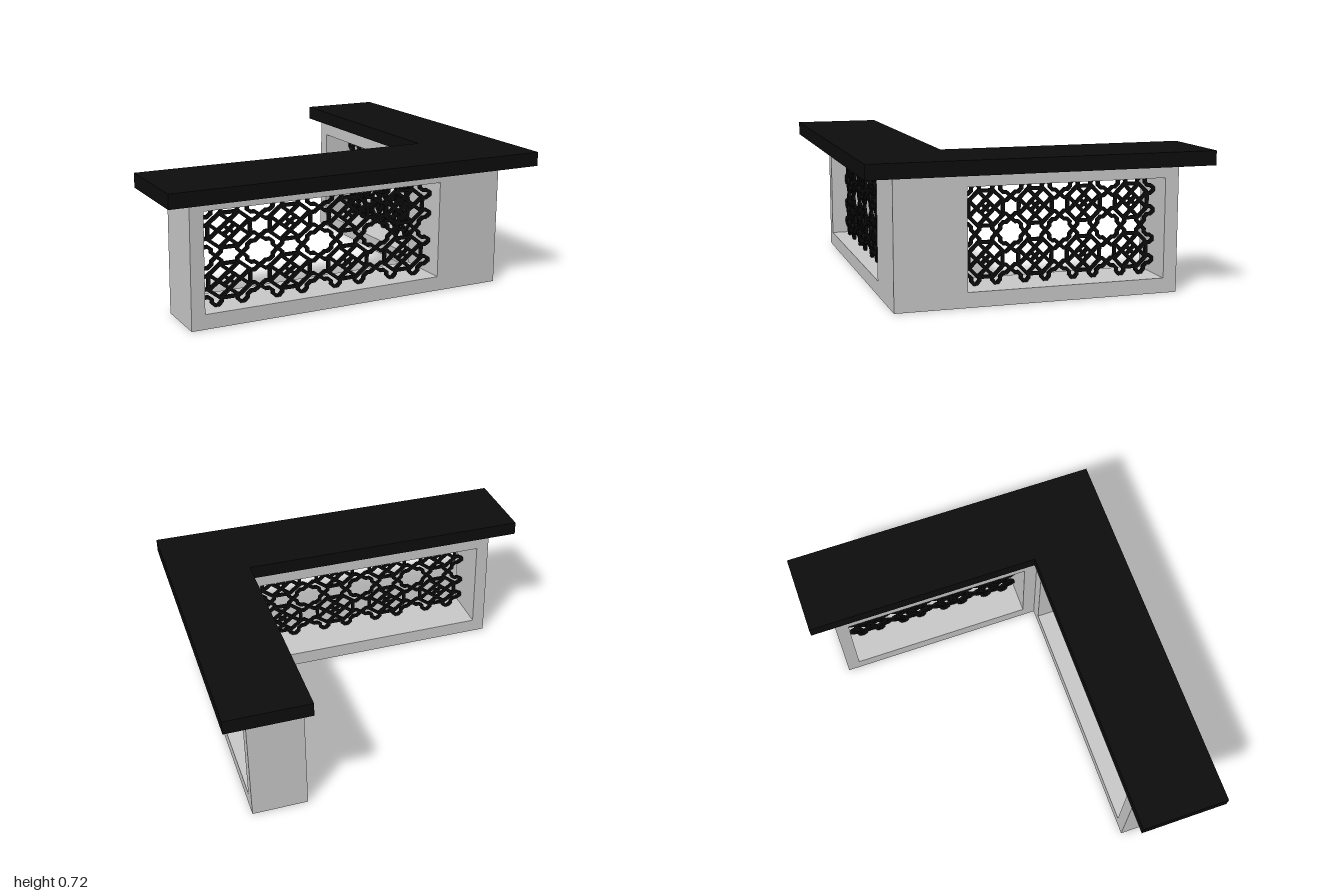
import * as THREE from 'three';
import { mergeGeometries } from 'three/addons/utils/BufferGeometryUtils.js';

const grey = new THREE.MeshStandardMaterial({ color: 0xcccccc });
const black = new THREE.MeshStandardMaterial({ color: 0x0d0d0d });

function named(name, geometry, material) {
  const mesh = new THREE.Mesh(geometry, material);
  mesh.name = name;
  return mesh;
}

function rectangle(PathType, x0, x1, y0, y1) {
  const p = new PathType();
  p.moveTo(x0, y0).lineTo(x1, y0).lineTo(x1, y1).lineTo(x0, y1).closePath();
  return p;
}

// Wall with a rectangular through opening, extruded by its thickness
function wallGeometry(x0, x1, hole0, hole1) {
  const shape = rectangle(THREE.Shape, x0, x1, 0, 0.645);
  shape.holes.push(rectangle(THREE.Path, hole0, hole1, 0.075, 0.575));
  return new THREE.ExtrudeGeometry(shape, { depth: 0.285, bevelEnabled: false });
}

// Strands of one knot tile in the square -1..1; the first two repeat by quarter turns
const cornerStrand = [[0.42, 1], [0.58, 0.82], [0.58, 0.7], [0.7, 0.58], [0.82, 0.58], [1, 0.42]];
const wovenStrand = [[0.42, 1], [0.26, 0.82], [0.26, 0.62], [-0.62, -0.26], [-0.82, -0.26], [-1, -0.42]];
const ring = [[0.3, 0.68], [0.68, 0.3], [0.68, -0.3]];
const centre = [[0.2, 0.2], [-0.2, -0.2]];

function tileStrands() {
  const strands = [];
  for (let k = 0; k < 4; k++) {
    const c = Math.round(Math.cos(k * Math.PI / 2));
    const s = Math.round(Math.sin(k * Math.PI / 2));
    const turn = (points) => points.map(([u, v]) => [c * u - s * v, s * u + c * v]);
    strands.push(turn(cornerStrand), turn(wovenStrand), turn(ring));
    if (k < 2) strands.push(turn(centre));
  }
  return strands;
}

// Lattice of 4 x 2 knot tiles, centred on the origin
function latticeGeometry(width, height) {
  const cols = 4, rows = 2, bar = 0.017;
  const hw = width / cols / 2, hh = height / rows / 2;
  const parts = [];
  for (let i = 0; i < cols; i++) for (let j = 0; j < rows; j++) {
    const cx = (2 * i + 1 - cols) * hw, cy = (2 * j + 1 - rows) * hh;
    for (const strand of tileStrands()) {
      for (let n = 0; n + 1 < strand.length; n++) {
        const ax = cx + strand[n][0] * hw, ay = cy + strand[n][1] * hh;
        const bx = cx + strand[n + 1][0] * hw, by = cy + strand[n + 1][1] * hh;
        const length = Math.hypot(bx - ax, by - ay);
        const g = new THREE.BoxGeometry(length + bar * 0.4, bar, 0.015);
        g.rotateZ(Math.atan2(by - ay, bx - ax));
        g.translate((ax + bx) / 2, (ay + by) / 2, 0);
        parts.push(g);
      }
    }
  }
  return mergeGeometries(parts);
}

export function createModel() {
  const model = new THREE.Group();

  // L-shaped countertop, drawn in plan with shape y = -z
  const plan = new THREE.Shape([
    [-1, -0.857], [1, -0.857], [1, 0.857], [0.57, 0.857], [0.57, -0.4], [-1, -0.4],
  ].map(([x, y]) => new THREE.Vector2(x, y)));
  const topGeometry = new THREE.ExtrudeGeometry(plan, { depth: 0.072, bevelEnabled: false });
  topGeometry.rotateX(-Math.PI / 2);
  const countertop = named('countertop', topGeometry, black);
  countertop.position.y = 0.645;
  model.add(countertop);

  // Front wing of the base
  const frontWall = named('frontBase', wallGeometry(-0.845, 0.87, -0.775, 0.515), grey);
  frontWall.position.z = 0.42;
  model.add(frontWall);

  // Side wing of the base, turned so its length runs towards the back
  const sideWall = named('sideBase', wallGeometry(-0.42, 0.725, -0.35, 0.655), grey);
  sideWall.rotation.y = Math.PI / 2;
  sideWall.position.x = 0.585;
  model.add(sideWall);

  // Pierced screens standing in the two openings
  const frontLattice = named('frontLattice', latticeGeometry(1.29, 0.5), black);
  frontLattice.position.set(-0.13, 0.325, 0.62);
  model.add(frontLattice);

  const sideLattice = named('sideLattice', latticeGeometry(1.005, 0.5), black);
  sideLattice.rotation.y = Math.PI / 2;
  sideLattice.position.set(0.745, 0.325, -0.1525);
  model.add(sideLattice);

  return model;
}
